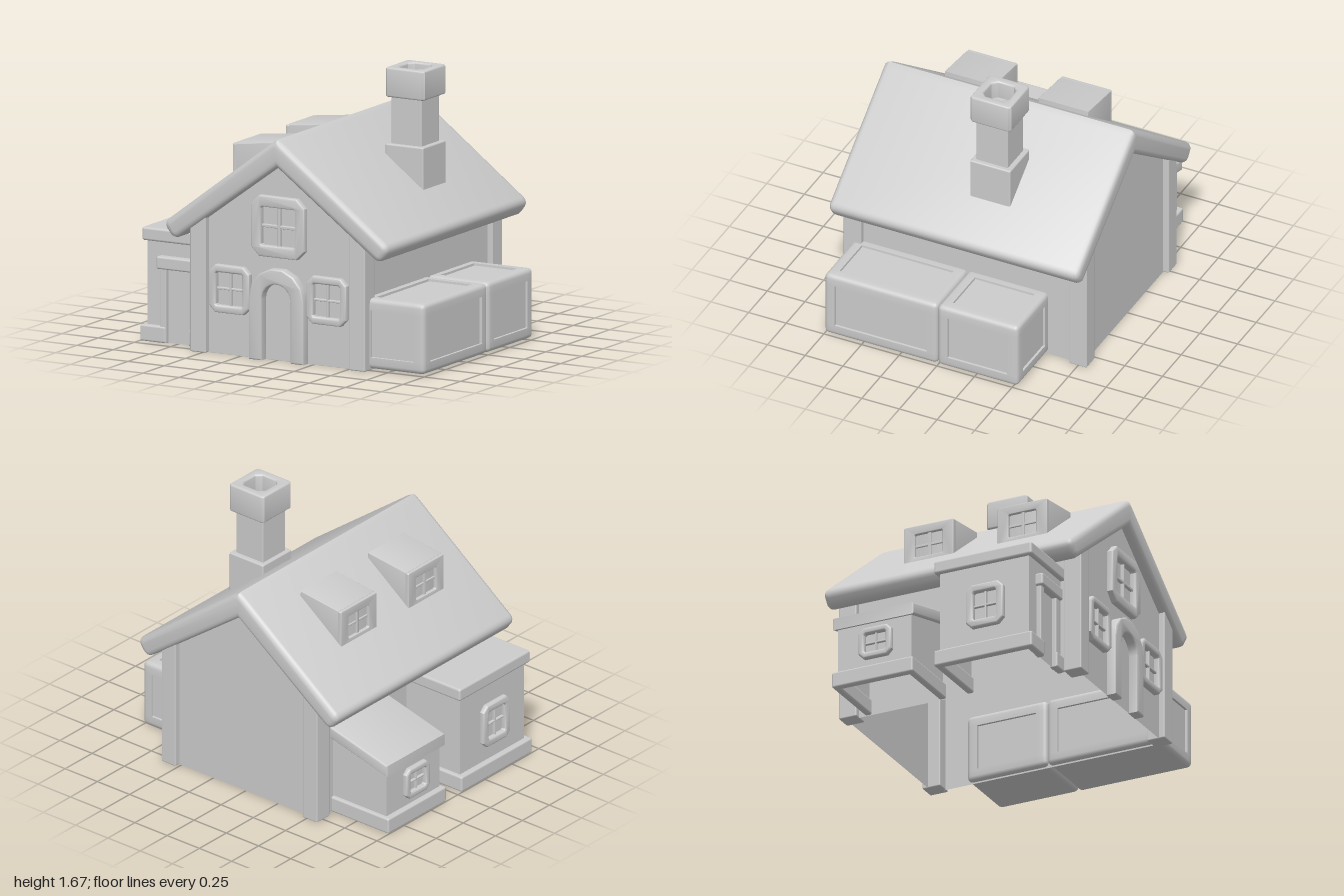
import * as THREE from 'three';
import { RoundedBoxGeometry } from 'three/addons/geometries/RoundedBoxGeometry.js';
import { toCreasedNormals } from 'three/addons/utils/BufferGeometryUtils.js';

const material = new THREE.MeshStandardMaterial({ color: 0xcccccc });
const openMaterial = new THREE.MeshStandardMaterial({ color: 0xcccccc, side: THREE.DoubleSide });
const CX = 0.02; // x of the ridge

function add(parent, name, geometry, x = 0, y = 0, z = 0) {
  const mesh = new THREE.Mesh(geometry, material);
  mesh.name = name;
  mesh.position.set(x, y, z);
  parent.add(mesh);
  return mesh;
}

// Softened box given by its limits on each axis
function block(parent, name, [x0, x1], [y0, y1], [z0, z1], r = 0.012) {
  const g = new RoundedBoxGeometry(x1 - x0, y1 - y0, z1 - z0, 2, r);
  return add(parent, name, g, (x0 + x1) / 2, (y0 + y1) / 2, (z0 + z1) / 2);
}

const toShape = (pts) => new THREE.Shape(pts.map(([x, y]) => new THREE.Vector2(x, y)));

// Outline extruded from z0 to z1, edges rounded by r within the outline
function prism(pts, z0, z1, r = 0, hole = null) {
  const shape = toShape(pts);
  if (hole) shape.holes.push(toShape(hole));
  const g = new THREE.ExtrudeGeometry(shape, {
    depth: z1 - z0 - 2 * r, bevelEnabled: r > 0, bevelSize: r, bevelThickness: r,
    bevelOffset: -r, bevelSegments: 3,
  });
  g.translate(0, 0, z0 + r);
  return toCreasedNormals(g, 0.6);
}

// Walls extruded from an outline, without a floor
function addWalls(parent, name, pts, z0, z1) {
  const p = prism(pts, z0, z1).attributes.position;
  const kept = [];
  for (let i = 0; i < p.count; i += 3) {
    if (Math.max(p.getY(i), p.getY(i + 1), p.getY(i + 2)) < 1e-4) continue;
    for (let k = i; k < i + 3; k++) kept.push(p.getX(k), p.getY(k), p.getZ(k));
  }
  const g = new THREE.BufferGeometry();
  g.setAttribute('position', new THREE.Float32BufferAttribute(kept, 3));
  g.computeVertexNormals();
  add(parent, name, g).material = openMaterial;
}

// Centred rectangle with cut corners
function cutRect(w, h, c) {
  const x = w / 2, y = h / 2;
  return [[-x + c, -y], [x - c, -y], [x, -y + c], [x, y - c],
    [x - c, y], [-x + c, y], [-x, y - c], [-x, -y + c]];
}

// Points of an arc from angle a0 to a1
const arc = (cx, cy, rx, ry, a0, a1, n) => Array.from({ length: n + 1 }, (_, i) => {
  const a = a0 + (a1 - a0) * i / n;
  return [cx + rx * Math.cos(a), cy + ry * Math.sin(a)];
});

// Window facing +z, its back at z = 0
function addWindow(parent, name, w, h, border, depth, [x, y, z], turn = 0) {
  const group = new THREE.Group();
  group.name = name;
  const iw = w - 2 * border, ih = h - 2 * border, bar = w * 0.05;
  add(group, 'windowFrame', prism(cutRect(w, h, w * 0.15), 0, depth, 0.012, cutRect(iw, ih, 0.008)));
  block(group, 'windowBar', [-bar / 2, bar / 2], [-ih / 2 - 0.01, ih / 2 + 0.01], [0, depth * 0.6], 0.004);
  block(group, 'windowBar', [-iw / 2 - 0.01, iw / 2 + 0.01], [-bar / 2, bar / 2], [0, depth * 0.6], 0.004);
  group.position.set(x, y, z);
  group.rotation.y = turn;
  parent.add(group);
}

// Rounded box with a sunken panel on every side but the bottom
function addSideBox(parent, [x0, x1], [y0, y1], [z0, z1]) {
  const r = 0.028, sink = 0.014, steps = [0, 0.016, r, 0.07, 0.071], n = 9;
  const size = [x1 - x0, y1 - y0, z1 - z0];
  const g = new THREE.BoxGeometry(...size, n, n, n);
  const p = g.attributes.position;
  for (let i = 0; i < p.count; i++) {
    const raw = [p.getX(i), p.getY(i), p.getZ(i)];
    const index = raw.map((c, a) => Math.round((c / size[a] + 0.5) * n));
    const pos = index.map((k, a) => (k < 5 ? steps[k] - size[a] / 2 : size[a] / 2 - steps[n - k]));
    const core = new THREE.Vector3(...pos.map((c, a) => THREE.MathUtils.clamp(c, r - size[a] / 2, size[a] / 2 - r)));
    const v = new THREE.Vector3(...pos).sub(core).setLength(r).add(core);
    const inPanel = index.filter((k) => k === 4 || k === 5).length === 2;
    if (inPanel && index[1] !== 0) {
      const axis = index.findIndex((k) => k === 0 || k === n);
      v.setComponent(axis, v.getComponent(axis) - Math.sign(pos[axis]) * sink);
    }
    p.setXYZ(i, v.x, v.y, v.z);
  }
  add(parent, 'sideBox', toCreasedNormals(g, 0.6), (x0 + x1) / 2, (y0 + y1) / 2, (z0 + z1) / 2);
}

// Dormer: wedge on the roof slope with a recessed window facing -x
function addDormer(parent, z0, z1) {
  const group = new THREE.Group();
  group.name = 'dormer';
  parent.add(group);
  add(group, 'dormerBody', prism([[-0.44, 0.93], [-0.14, 1.16], [-0.145, 1.262], [-0.44, 1.227]], z0, z1, 0.005));
  const w = z1 - z0, zc = (z0 + z1) / 2, y = 1.095;
  const face = add(group, 'dormerFace', prism(cutRect(w, 0.262, 0.006), 0, 0.03, 0.005,
    cutRect(w * 0.56, 0.15, 0.006)), -0.43, y, zc);
  face.rotation.y = -Math.PI / 2;
  block(group, 'dormerBar', [-0.452, -0.43], [y - 0.08, y + 0.08], [zc - 0.01, zc + 0.01], 0.004);
  block(group, 'dormerBar', [-0.448, -0.43], [y - 0.008, y + 0.008], [zc - w * 0.29, zc + w * 0.29], 0.004);
}

export function createModel() {
  const house = new THREE.Group();
  house.name = 'cottage';

  // Main walls
  addWalls(house, 'walls', [[-0.55, 0], [0.59, 0], [0.59, 0.82], [CX, 1.25], [-0.55, 0.82]], -0.77, 0.77);

  // Corner posts
  for (const sx of [-1, 1]) for (const sz of [-1, 1]) {
    const xs = [CX + sx * 0.495, CX + sx * 0.604].sort((a, b) => a - b);
    const zs = [sz * 0.69, sz * 0.808].sort((a, b) => a - b);
    block(house, 'cornerPost', xs, [0, 0.84], zs, 0.008);
  }

  // Roof: folded slab with a soft ridge and rounded eaves
  const pitch = Math.atan(0.758), R = 0.045;
  const half = [[0.035, 1.328],
    ...arc(0.722, 0.757, R, R, Math.PI / 2 - pitch, -pitch, 4),
    ...arc(0.699, 0.727, R, R, -pitch, -Math.PI / 2 - pitch, 4)];
  add(house, 'roof', prism([[CX, 1.348], ...half.map(([x, y]) => [CX + x, y]), [CX, 1.18],
    ...half.reverse().map(([x, y]) => [CX - x, y])].reverse(), -0.83, 0.83, 0.035));

  // Chimney: foot, shaft and hollow cap
  block(house, 'chimneyFoot', [0.29, 0.553], [0.9, 1.21], [-0.265, 0.003], 0.01);
  block(house, 'chimneyShaft', [0.315, 0.525], [1.18, 1.56], [-0.235, -0.025], 0.008);
  const cap = add(house, 'chimneyCap', prism(cutRect(0.268, 0.27, 0.014), 0, 0.18, 0.012,
    cutRect(0.165, 0.165, 0.03)), 0.422, 1.493, -0.132);
  cap.rotation.x = -Math.PI / 2;

  // Dormers
  addDormer(house, -0.437, -0.106);
  addDormer(house, 0.188, 0.517);

  // Front windows
  addWindow(house, 'upperWindow', 0.37, 0.37, 0.068, 0.05, [CX, 0.813, 0.76]);
  for (const s of [-1, 1]) {
    addWindow(house, 'lowerWindow', 0.275, 0.29, 0.045, 0.05, [CX + s * 0.335, 0.4, 0.76]);
  }

  // Arched door surround
  const outer = arc(CX, 0.38, 0.188, 0.185, 0, Math.PI, 7);
  const inner = arc(CX, 0.37, 0.1, 0.1, Math.PI, 0, 12);
  add(house, 'doorArch', prism([[CX + 0.188, 0], ...outer, [CX - 0.188, 0], [CX - 0.1, 0],
    ...inner, [CX + 0.1, 0]], 0.76, 0.828, 0.01));

  // Boxes along the left wall
  addSideBox(house, [0.56, 0.998], [0.01, 0.435], [0.001, 0.75]);
  addSideBox(house, [0.56, 0.998], [0.01, 0.435], [-0.535, -0.001]);

  // Front annex with its own door
  const porch = new THREE.Group();
  porch.name = 'frontAnnex';
  house.add(porch);
  addWalls(porch, 'annexWalls', [[-0.965, 0], [-0.55, 0], [-0.55, 0.64], [-0.965, 0.64]], 0.06, 0.655);
  block(porch, 'annexRoof', [-0.99, -0.54], [0.61, 0.692], [0.03, 0.683], 0.015);
  block(porch, 'annexBase', [-1, -0.95], [0, 0.1], [0.035, 0.69]);
  block(porch, 'annexBase', [-1, -0.55], [0, 0.1], [0.035, 0.08]);
  for (const xs of [[-1, -0.825], [-0.665, -0.56]]) block(porch, 'annexBase', xs, [0, 0.1], [0.64, 0.69]);
  for (const xs of [[-0.865, -0.82], [-0.665, -0.62]]) block(porch, 'annexDoorPost', xs, [0, 0.47], [0.64, 0.684], 0.006);
  block(porch, 'annexLintel', [-0.88, -0.61], [0.45, 0.527], [0.64, 0.703]);
  addWindow(porch, 'annexWindow', 0.25, 0.28, 0.05, 0.04, [-0.958, 0.34, 0.37], -Math.PI / 2);

  // Lower rear annex with a lean-to roof
  const shed = new THREE.Group();
  shed.name = 'rearAnnex';
  house.add(shed);
  addWalls(shed, 'annexWalls', [[-0.965, 0], [-0.55, 0], [-0.55, 0.52], [-0.965, 0.41]], -0.62, -0.13);
  add(shed, 'annexRoof', prism([[-0.99, 0.38], [-0.54, 0.495], [-0.54, 0.57], [-0.99, 0.455]], -0.645, -0.105, 0.012));
  block(shed, 'annexBase', [-1, -0.95], [0, 0.1], [-0.645, -0.105]);
  for (const zs of [[-0.645, -0.6], [-0.15, -0.105]]) block(shed, 'annexBase', [-1, -0.55], [0, 0.1], zs);
  addWindow(shed, 'annexWindow', 0.22, 0.2, 0.04, 0.04, [-0.958, 0.25, -0.36], -Math.PI / 2);

  return house;
}
